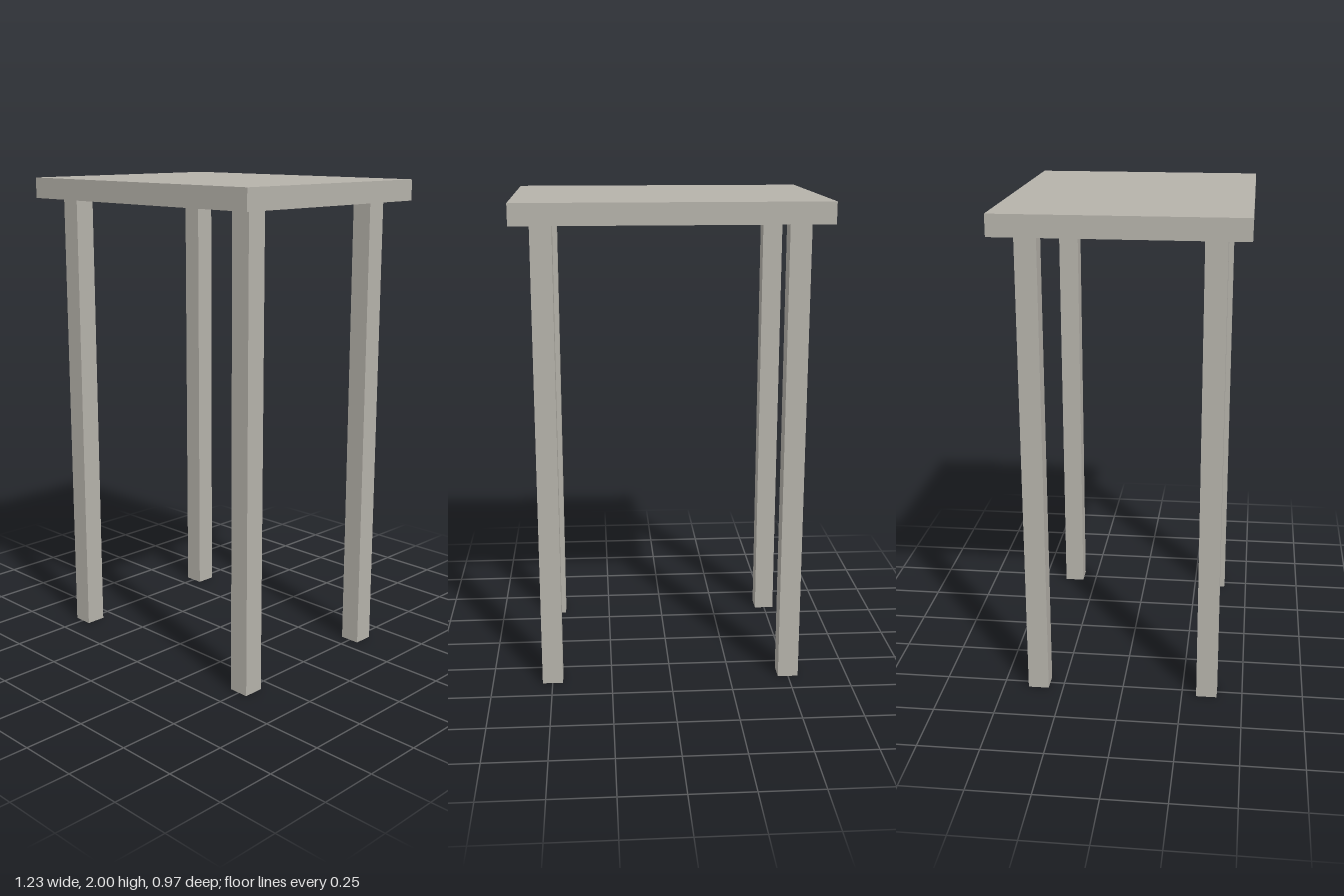
import * as THREE from 'three';

export function createModel() {
  const model = new THREE.Group();
  model.name = 'table';

  const stone = new THREE.MeshStandardMaterial({ color: 0xb5b2aa });
  stone.name = 'warm grey';

  const height = 2, thickness = 0.085, legWidth = 0.085;
  const legHeight = height - thickness;

  const addBox = (name, w, h, d, x, y, z) => {
    const mesh = new THREE.Mesh(new THREE.BoxGeometry(w, h, d), stone);
    mesh.name = name;
    mesh.position.set(x, y, z);
    model.add(mesh);
  };

  // Flat slab top
  addBox('tableTop', 1.233, thickness, 0.967, 0, height - thickness / 2, 0);

  // Four square legs, inset from the corners
  for (const [side, x] of [['Left', 0.499], ['Right', -0.499]]) {
    for (const [end, z] of [['front', 0.353], ['back', -0.353]]) {
      addBox(`${end}${side}Leg`, legWidth, legHeight, legWidth, x, legHeight / 2, z);
    }
  }

  return model;
}
